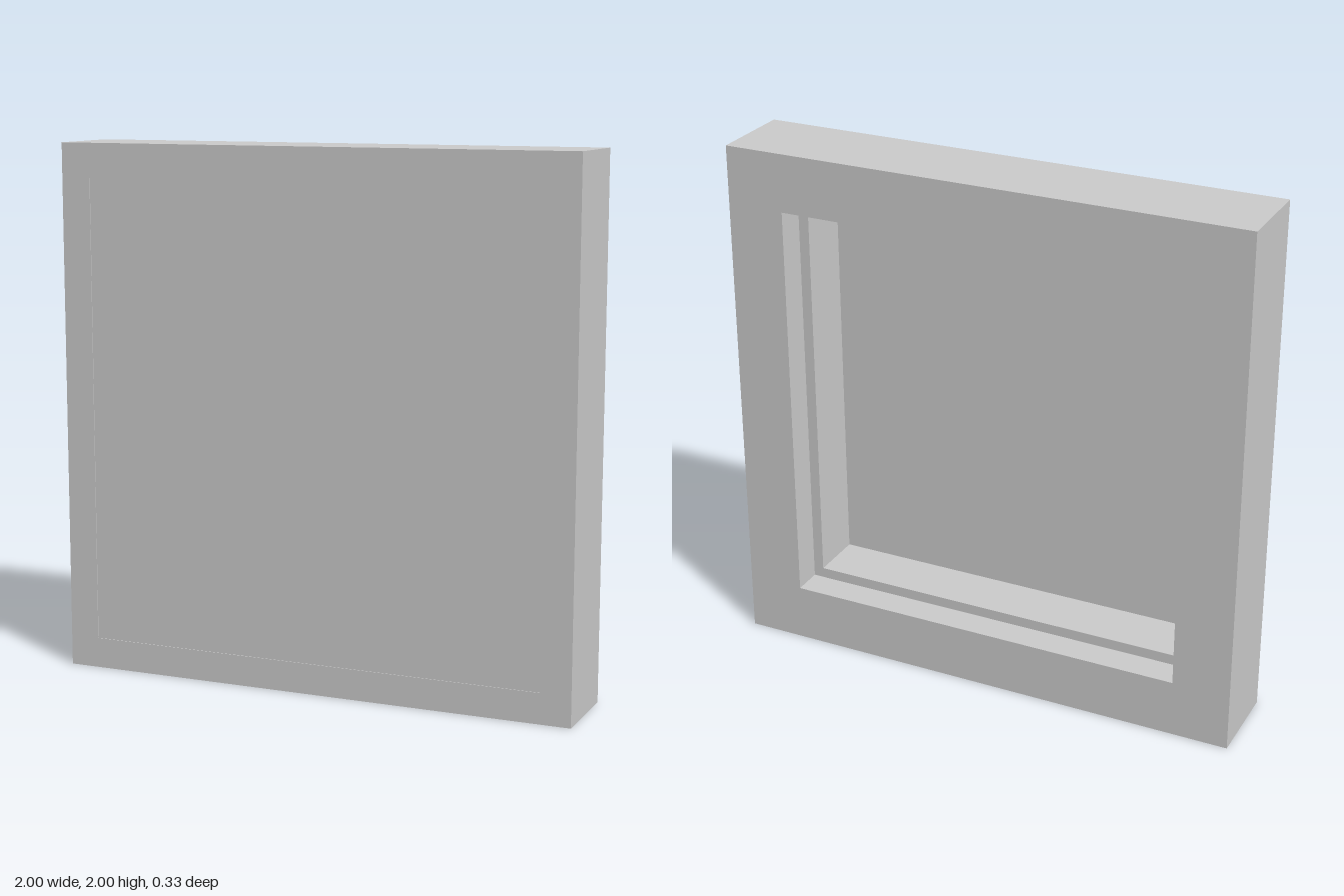
import * as THREE from 'three';

const D = 0.166; // half depth

// Sweep a closed profile of [half width, z] around a square, with mitred corners
function squareRing(profile) {
  const points = profile.map(([r, z]) => new THREE.Vector2(r * Math.SQRT2, z));
  const ring = new THREE.LatheGeometry(points, 4, Math.PI / 4).toNonIndexed();
  ring.computeVertexNormals();
  return ring.rotateX(Math.PI / 2);
}

export function createModel() {
  const model = new THREE.Group();
  const material = new THREE.MeshStandardMaterial({ color: 0xcccccc, flatShading: true });
  const add = (name, geometry, z = 0) => {
    const mesh = new THREE.Mesh(geometry, material);
    mesh.name = name;
    mesh.position.set(0, 1, z);
    model.add(mesh);
  };

  // Mitred frame: stepped opening at the back, shallow seat at the front
  add('frame', squareRing([
    [0.78, -D], [1, -D], [1, D], [0.885, D], [0.885, 0.16],
    [0.74, 0.16], [0.74, -0.051], [0.78, -0.051], [0.78, -D],
  ]));

  // Thin panel set a hair below the frame's front face
  add('frontPanel', new THREE.BoxGeometry(1.77, 1.77, 0.003), 0.1615);

  return model;
}
